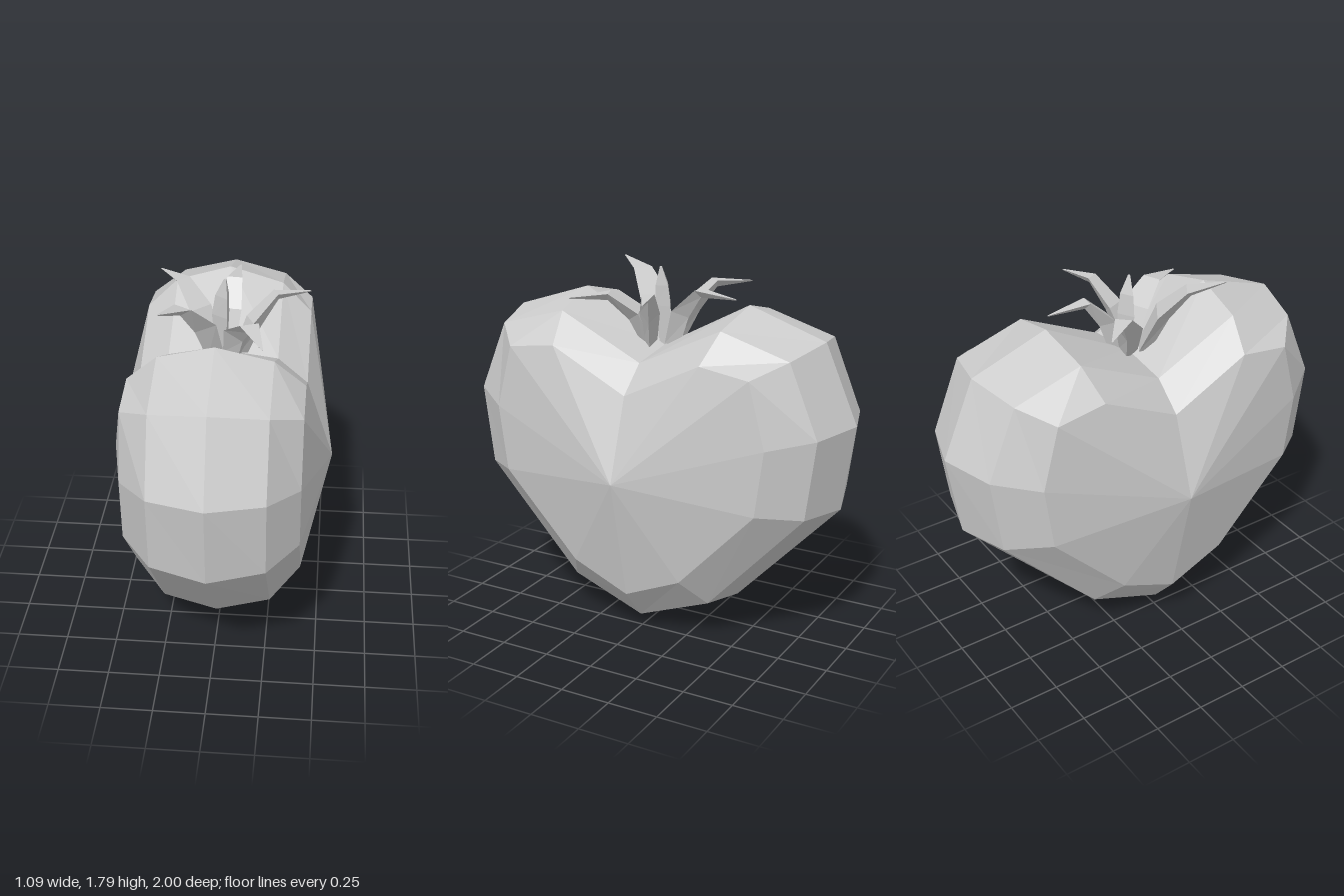
import * as THREE from 'three';

const material = new THREE.MeshStandardMaterial({ color: 0xcccccc, flatShading: true, side: THREE.DoubleSide });

// Skin a list of closed rings (each an array of Vector3, counter-clockwise about the path).
function loft(name, rings) {
  const pos = [];
  const tri = (a, b, c) => {
    const area = b.clone().sub(a).cross(c.clone().sub(a)).length();
    if (area > 1e-7) for (const p of [a, b, c]) pos.push(p.x, p.y, p.z);
  };
  for (let r = 0; r < rings.length - 1; r++) {
    const A = rings[r], B = rings[r + 1], n = A.length;
    for (let i = 0; i < n; i++) {
      const j = (i + 1) % n;
      tri(A[i], A[j], B[j]);
      tri(A[i], B[j], B[i]);
    }
  }
  const geo = new THREE.BufferGeometry();
  geo.setAttribute('position', new THREE.Float32BufferAttribute(pos, 3));
  geo.computeVertexNormals();
  const mesh = new THREE.Mesh(geo, material);
  mesh.name = name;
  return mesh;
}

// Heart-shaped fruit: half outlines [z, y] from the notch down to the bottom tip.
function createFruit() {
  const middle = [[0, 1.41], [0.445, 1.65], [0.835, 1.52], [1, 1.14], [0.94, 0.72], [0.41, 0.16], [0, 0]];
  const inner = [[0, 1.375], [0.425, 1.58], [0.77, 1.48], [0.915, 1.13], [0.865, 0.74], [0.375, 0.21], [0, 0.065]];
  const outer = [[0, 1.25], [0.39, 1.445], [0.637, 1.41], [0.72, 1.095], [0.677, 0.77], [0.29, 0.36], [0, 0.235]];
  const pole = middle.map(() => [0, 0.85]);
  const ring = (half, x) => [
    ...half.map(([z, y]) => new THREE.Vector3(x, y, z)),
    ...half.slice(1, -1).reverse().map(([z, y]) => new THREE.Vector3(x, y, -z)),
  ];
  return loft('fruit', [
    ring(pole, -0.545), ring(outer, -0.41), ring(inner, -0.265), ring(middle, 0),
    ring(inner, 0.265), ring(outer, 0.41), ring(pole, 0.545),
  ]);
}

// Pointed blade with a keeled triangular section along a bent path.
function createBlade(name, path, widths, thickness) {
  const pts = path.map((p) => new THREE.Vector3(...p));
  const last = pts.length - 1;
  const out = pts[last].clone().sub(pts[0]).setY(0).normalize();
  const side = out.clone().cross(new THREE.Vector3(0, 1, 0));
  const rings = pts.map((p, i) => {
    const t = pts[Math.min(i + 1, last)].clone().sub(pts[Math.max(i - 1, 0)]).normalize();
    const up = side.clone().cross(t);
    const at = (s, u) => p.clone().addScaledVector(side, s * widths[i]).addScaledVector(up, u * thickness[i]);
    return [at(1, 0.4), at(0, -0.6), at(-1, 0.4)];
  });
  const cap = (p, n) => Array.from({ length: n }, () => p.clone());
  return loft(name, [cap(pts[0], 3), ...rings, cap(pts[last], 3)]);
}

export function createModel() {
  const group = new THREE.Group();
  group.name = 'heartFruit';
  group.add(createFruit());

  // Ring of five leaves around the notch
  const leaves = [
    { w: 1.0, path: [[-0.05, 1.42, -0.03], [-0.13, 1.58, -0.08], [-0.21, 1.69, -0.16], [-0.33, 1.69, -0.3]] },
    { w: 0.9, path: [[0.02, 1.42, -0.05], [0.025, 1.58, -0.1], [0.04, 1.69, -0.2], [0.055, 1.68, -0.4]] },
    { w: 0.75, path: [[0.09, 1.43, 0.04], [0.15, 1.57, 0.01], [0.25, 1.69, -0.04], [0.41, 1.69, -0.1]] },
    { w: 1.15, path: [[0.06, 1.42, 0.06], [0.09, 1.56, 0.12], [0.14, 1.65, 0.24], [0.21, 1.63, 0.42]] },
    { w: 1.25, path: [[-0.05, 1.42, 0.06], [-0.1, 1.6, 0.13], [-0.17, 1.72, 0.23], [-0.26, 1.765, 0.38]] },
  ];
  leaves.forEach(({ w, path }, i) => {
    const widths = [0.045, 0.065, 0.04, 0.003].map((v) => v * w);
    group.add(createBlade(`leaf${i + 1}`, path, widths, [0.06, 0.07, 0.04, 0.005]));
  });

  // Upright centre sprout
  group.add(createBlade('sprout',
    [[0, 1.4, 0], [0.0, 1.6, 0.01], [0.005, 1.7, 0.015], [0.012, 1.79, 0.022]],
    [0.03, 0.045, 0.035, 0.006], [0.05, 0.075, 0.06, 0.01]));
  return group;
}
